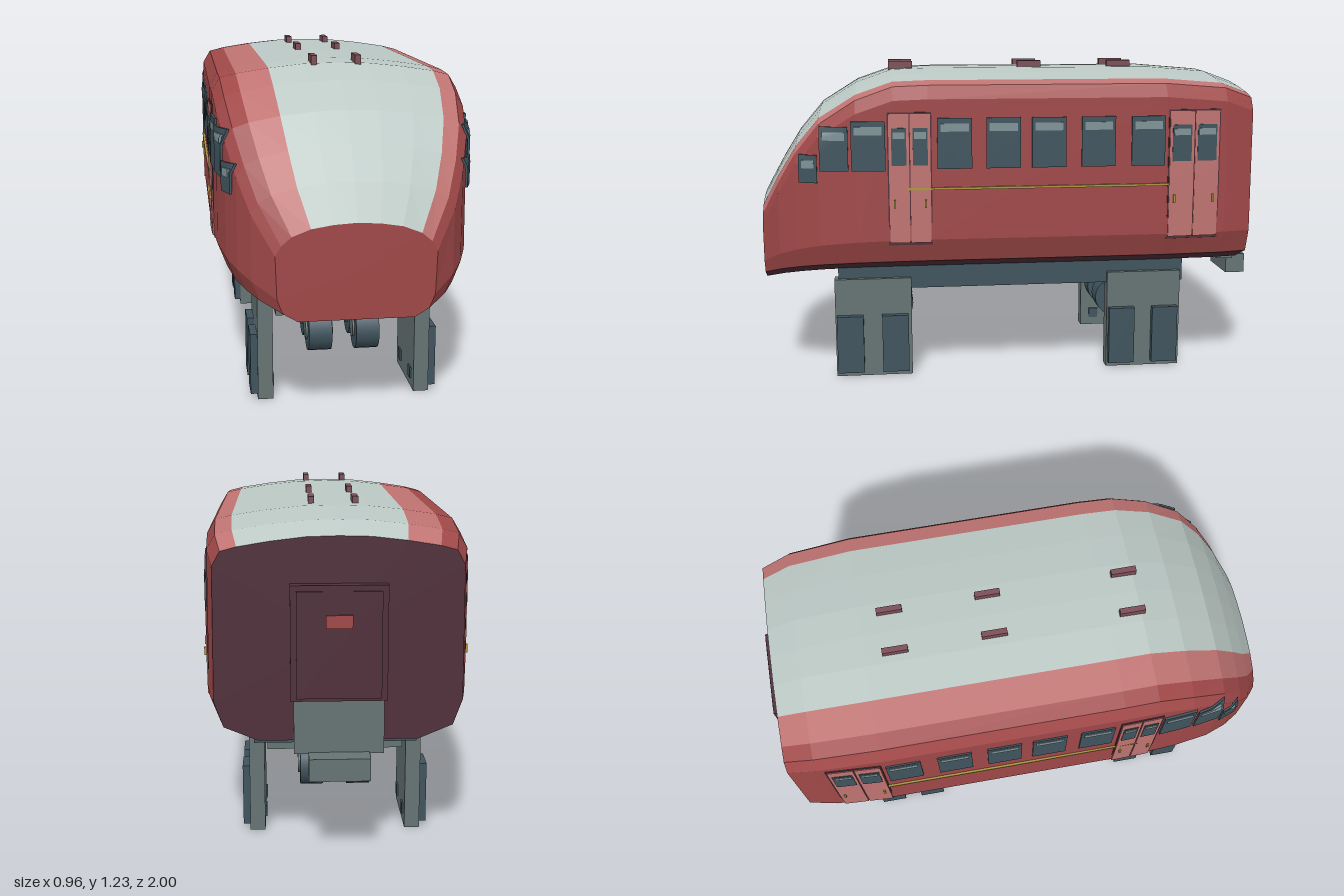
import * as THREE from 'three';

const mat = (name, color, side = THREE.FrontSide) => {
  const m = new THREE.MeshStandardMaterial({ color, side });
  m.name = name;
  return m;
};

// Half cross-section, from roof centre round to floor centre: full body and nose tip
const BODY = [[0, 1.21], [0.12, 1.207], [0.25, 1.193], [0.37, 1.175], [0.43, 1.16], [0.46, 1.11],
  [0.465, 0.58], [0.43, 0.49], [0.30, 0.44], [0, 0.44]];
const NOSE = [[0, 0.727], [0.08, 0.722], [0.155, 0.71], [0.22, 0.685], [0.255, 0.655], [0.275, 0.62],
  [0.27, 0.47], [0.25, 0.42], [0.20, 0.39], [0, 0.39]];
// Stations: z, width blend to nose, height blend to nose, width scale, roof drop
const STATIONS = [
  [-0.90, 0, 0, 0.92, 0.06], [-0.79, 0, 0, 0.97, 0.02], [-0.55, 0, 0, 1, 0], [0.36, 0, 0, 1, 0],
  [0.49, 0.02, 0.01, 1, 0], [0.63, 0.07, 0.11, 1, 0], [0.77, 0.19, 0.29, 1, 0],
  [0.86, 0.37, 0.51, 1, 0], [0.93, 0.6, 0.74, 1, 0], [1.0, 1, 1, 1, 0]];
// Colour of each lengthwise strip round the ring: roof, band, shell, underside
const STRIPS = 'gggprrrmmmmrrrrpgg';

const lerp = THREE.MathUtils.lerp;

// Half section at a station
function half([z, tx, ty, s, drop]) {
  return BODY.map(([x, y], i) => [
    lerp(x, NOSE[i][0], tx) * s,
    lerp(y, NOSE[i][1], i < 6 ? ty : tx) - (i < 6 ? drop : 0), z]);
}

// Half-width of the shell at a given z and y
function sideX(z, y) {
  let k = 0;
  while (k < STATIONS.length - 2 && z > STATIONS[k + 1][0]) k++;
  const a = STATIONS[k], b = STATIONS[k + 1], t = (z - a[0]) / (b[0] - a[0]);
  const h = half(a.map((v, i) => lerp(v, b[i], t)));
  for (let i = 2; i < 8; i++) {
    const p = h[i], q = h[i + 1];
    if (y <= p[1] && y >= q[1]) return lerp(p[0], q[0], (p[1] - y) / (p[1] - q[1]));
  }
  return h[3][0];
}

function facets(points) {
  const g = new THREE.BufferGeometry();
  g.setAttribute('position', new THREE.Float32BufferAttribute(points.flat(), 3));
  g.computeVertexNormals();
  return g;
}

export function createModel() {
  const root = new THREE.Group();
  root.name = 'railCar';
  const M = {
    shell: mat('shell red', 0xa04848),
    band: mat('light red', 0xc07472),
    roof: mat('pale grey', 0xbcc9c5),
    maroon: mat('dark maroon', 0x50303b),
    blue: mat('dark blue grey', 0x40545e),
    grey: mat('mid grey', 0x667473),
    glint: mat('window grey', 0x7f9296),
    gold: mat('gold', 0xae9440),
    block: mat('dusty plum', 0x7c4f58),
  };

  const add = (name, geo, material, parent = root) => {
    const m = new THREE.Mesh(geo, material);
    m.name = name;
    parent.add(m);
    return m;
  };
  const box = (name, material, x0, x1, y0, y1, z0, z1, parent) => {
    const m = add(name, new THREE.BoxGeometry(Math.abs(x1 - x0), y1 - y0, z1 - z0), material, parent);
    m.position.set((x0 + x1) / 2, (y0 + y1) / 2, (z0 + z1) / 2);
    return m;
  };

  // Shell lofted through the stations, split by colour
  const rings = STATIONS.map(s => {
    const h = half(s);
    return [...h, ...h.slice(1, -1).reverse().map(([x, y, z]) => [-x, y, z])];
  });
  const n = STRIPS.length;
  const tris = { g: [], p: [], r: [], m: [] };
  for (let k = 0; k < rings.length - 1; k++) {
    for (let i = 0; i < n; i++) {
      const j = (i + 1) % n;
      const a = rings[k][i], b = rings[k][j], c = rings[k + 1][j], d = rings[k + 1][i];
      tris[STRIPS[i]].push(a, d, c, a, c, b);
    }
  }
  const front = rings[rings.length - 1], back = rings[0];
  const nose = [], tail = [];
  for (let i = 0; i < n; i++) {
    const j = (i + 1) % n;
    nose.push([0, 0.55, 1], front[j], front[i]);
    tail.push([0, 0.8, -0.9], back[i], back[j]);
  }
  add('roofAndWindshield', facets(tris.g), M.roof);
  add('roofBands', facets(tris.p), M.band);
  add('sideShell', facets(tris.r), M.shell);
  add('underside', facets(tris.m), M.maroon);
  add('noseFace', facets(nose), M.shell);
  add('rearFace', facets(tail), M.maroon);

  // Plate that follows the shell side
  const plate = (name, s, z0, z1, y0, y1, material, out) => {
    const g = new THREE.BoxGeometry(1, 1, 1, 1, 3, 2), p = g.attributes.position;
    for (let i = 0; i < p.count; i++) {
      const z = lerp(z0, z1, p.getZ(i) + 0.5), y = lerp(y0, y1, p.getY(i) + 0.5);
      const lift = s * p.getX(i) > 0 ? out : out - 0.009;
      p.setXYZ(i, s * (sideX(z, y) + lift), y, z);
    }
    g.computeVertexNormals();
    add(name, g, material);
  };
  const windowAt = (s, z0, z1, y0, y1, out = 0.006) => {
    plate('sideWindow', s, z0, z1, y0, y1, M.blue, out);
    plate('windowGlint', s, z0 + 0.012, z1 - 0.012, y1 - 0.05, y1 - 0.02, M.glint, out + 0.002);
  };

  for (const s of [1, -1]) {
    // Passenger windows
    for (const z of [0.262, 0.078, -0.095, -0.285, -0.478]) windowAt(s, z - 0.065, z + 0.065, 0.85, 1.04);
    // Cab windows stepping down toward the nose
    windowAt(s, 0.52, 0.647, 0.845, 1.03, 0.01);
    windowAt(s, 0.658, 0.765, 0.845, 1.01, 0.014);
    windowAt(s, 0.775, 0.845, 0.80, 0.905, 0.016);
    // Gold side line
    plate('sideLine', s, -0.56, 0.44, 0.771, 0.78, M.gold, 0.009);
    // Double doors
    for (const [z0, z1] of [[0.353, 0.508], [-0.758, -0.562]]) {
      const mid = (z0 + z1) / 2;
      plate('doorFrame', s, z0 - 0.005, z1 + 0.005, 0.56, 1.063, M.maroon, 0.004);
      for (const [a, b, h] of [[z0, mid - 0.002, z0 + 0.02], [mid + 0.002, z1, z1 - 0.02]]) {
        plate('doorLeaf', s, a, b, 0.57, 1.057, M.band, 0.007);
        plate('doorWindow', s, a + 0.01, b - 0.01, 0.865, 1.005, M.blue, 0.009);
        plate('doorGlint', s, a + 0.016, b - 0.016, 0.965, 0.99, M.glint, 0.011);
        plate('doorHandle', s, h - 0.004, h + 0.004, 0.705, 0.735, M.gold, 0.014);
      }
    }
    // Roof blocks
    for (const z of [0.455, -0.065, -0.435]) box('roofBlock', M.block, s * 0.07, s * 0.092, 1.19, 1.233, z - 0.048, z + 0.048);
  }

  // Underframe
  box('underframe', M.blue, -0.3, 0.3, 0.35, 0.455, -0.67, 0.715);

  // Leg and wheel sets
  for (const zc of [0.58, -0.508]) {
    const set = new THREE.Group();
    set.name = 'legSet';
    set.position.z = zc;
    root.add(set);
    box('wheelMount', M.grey, -0.25, 0.25, 0.317, 0.352, -0.14, 0.14, set);
    for (const s of [1, -1]) {
      box('leg', M.grey, s * 0.262, s * 0.318, 0, 0.395, -0.15, 0.15, set);
      for (const z of [0.092, -0.085]) {
        box('legPad', M.blue, s * 0.316, s * 0.344, 0.02, 0.25, z - 0.052, z + 0.052, set);
        box('legStud', M.blue, s * 0.256, s * 0.263, 0.035, 0.078, z - 0.02, z + 0.02, set);
      }
      for (const z of [0.08, -0.08]) {
        const wheel = add('wheel', new THREE.CylinderGeometry(0.08, 0.08, 0.085, 20), M.blue, set);
        const hub = add('wheelHub', new THREE.CylinderGeometry(0.036, 0.036, 0.1, 16), M.grey, set);
        for (const m of [wheel, hub]) {
          m.rotation.z = Math.PI / 2;
          m.position.set(s * 0.087, 0.24, z);
        }
      }
    }
  }

  // Rear door and coupler
  box('rearDoor', M.maroon, -0.165, 0.165, 0.59, 0.99, -0.937, -0.89);
  box('rearDoorPanel', M.maroon, -0.145, 0.145, 0.6, 0.97, -0.941, -0.935);
  box('rearDoorHandle', M.shell, -0.045, 0.045, 0.845, 0.89, -0.948, -0.938);
  box('couplerBlock', M.grey, -0.155, 0.155, 0.4, 0.59, -0.93, -0.865);
  box('couplerHook', M.grey, -0.105, 0.105, 0.325, 0.405, -1, -0.92);
  return root;
}
